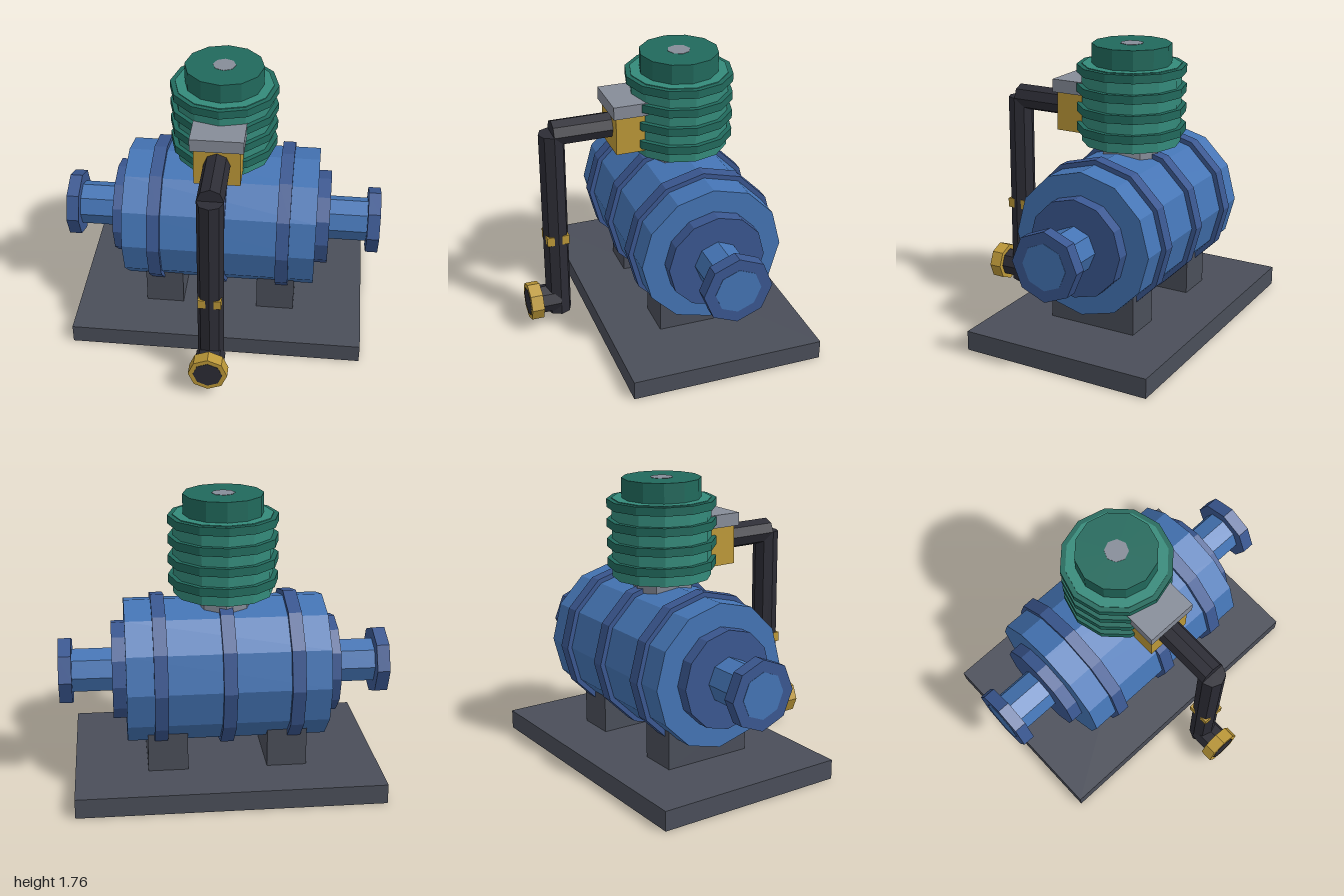
import * as THREE from 'three';

const mat = (name, color) => {
  const m = new THREE.MeshStandardMaterial({ color, flatShading: true });
  m.name = name;
  return m;
};

export function createModel() {
  const M = {
    blue: mat('blue', 0x4474b4),
    darkBlue: mat('dark blue', 0x3a5790),
    green: mat('green', 0x348a7a),
    darkGreen: mat('dark green', 0x21695c),
    base: mat('slate', 0x4a4e59),
    pipe: mat('black', 0x2c2c35),
    brass: mat('brass', 0xbc9838),
    grey: mat('grey', 0x868c98),
  };
  const model = new THREE.Group();
  model.name = 'pump';

  const add = (name, geo, material, x, y, z) => {
    const mesh = new THREE.Mesh(geo, material);
    mesh.name = name;
    mesh.position.set(x, y, z);
    model.add(mesh);
    return mesh;
  };
  // Box given by its lower and upper corners
  const box = (name, m, a, b) =>
    add(name, new THREE.BoxGeometry(b[0] - a[0], b[1] - a[1], b[2] - a[2]), m,
      (a[0] + b[0]) / 2, (a[1] + b[1]) / 2, (a[2] + b[2]) / 2);
  // Prisms running from a to b along one axis, a corner on each cross axis
  const prism = (r, a, b, sides) => new THREE.CylinderGeometry(r, r, b - a, sides);
  const alongX = (name, m, r, a, b, sides, y, z) =>
    add(name, prism(r, a, b, sides).rotateZ(-Math.PI / 2), m, (a + b) / 2, y, z);
  const alongY = (name, m, r, a, b, sides, x, z) =>
    add(name, prism(r, a, b, sides), m, x, (a + b) / 2, z);
  const alongZ = (name, m, r, a, b, sides, x, y) =>
    add(name, prism(r, a, b, sides).rotateX(Math.PI / 2), m, x, y, (a + b) / 2);

  const axisY = 0.68, axisZ = -0.2;

  // Base plate and saddles
  box('basePlate', M.base, [-0.92, 0, -0.8], [0.92, 0.12, 0.4]);
  for (const s of [-1, 1]) {
    const x = s * 0.36;
    box('saddle', M.base, [x - 0.12, 0.12, -0.48], [x + 0.12, 0.36, 0.08]);
  }

  // Horizontal casing with bands
  alongX('casing', M.blue, 0.44, -0.6, 0.6, 12, axisY, axisZ);
  for (const x of [-0.4, 0, 0.4])
    alongX('casingBand', M.darkBlue, 0.47, x - 0.04, x + 0.04, 12, axisY, axisZ);

  // End covers, nozzles and nozzle flanges
  for (const s of [-1, 1]) {
    const span = (a, b) => (s > 0 ? [a, b] : [-b, -a]);
    alongX('endCover', M.darkBlue, 0.3, ...span(0.6, 0.68), 12, axisY, axisZ);
    alongX('nozzle', M.blue, 0.14, ...span(0.66, 1.0), 8, axisY, axisZ);
    alongX('nozzleFlange', M.darkBlue, 0.21, ...span(0.92, 0.998), 8, axisY, axisZ);
  }

  // Finned motor on its neck
  alongY('motorNeck', M.grey, 0.18, 1.0, 1.17, 8, 0, axisZ);
  alongY('motorBody', M.green, 0.3, 1.16, 1.64, 12, 0, axisZ);
  for (let i = 0; i < 4; i++) {
    const y = 1.25 + i * 0.12;
    alongY('motorFin', M.darkGreen, 0.33, y - 0.025, y + 0.025, 12, 0, axisZ);
  }
  alongY('motorCap', M.darkGreen, 0.24, 1.64, 1.76, 12, 0, axisZ);
  alongY('capBolt', M.grey, 0.07, 1.74, 1.762, 8, 0, axisZ);

  // Valve block with lid
  box('valveBlock', M.brass, [-0.14, 1.2, -0.04], [0.14, 1.44, 0.24]);
  box('valveLid', M.grey, [-0.16, 1.44, -0.06], [0.16, 1.52, 0.26]);

  // Discharge pipe, clip and outlet
  alongZ('upperPipe', M.pipe, 0.08, 0.2, 0.6, 8, 0, 1.34);
  alongY('downPipe', M.pipe, 0.08, 0.09, 1.34, 8, 0, 0.6);
  box('pipeClip', M.brass, [-0.07, 0.6, 0.53], [0.07, 0.66, 0.67]);
  alongZ('outlet', M.pipe, 0.09, 0.6, 0.8, 8, 0, 0.18);
  alongZ('outletCollar', M.brass, 0.12, 0.72, 0.798, 8, 0, 0.18);

  return model;
}
